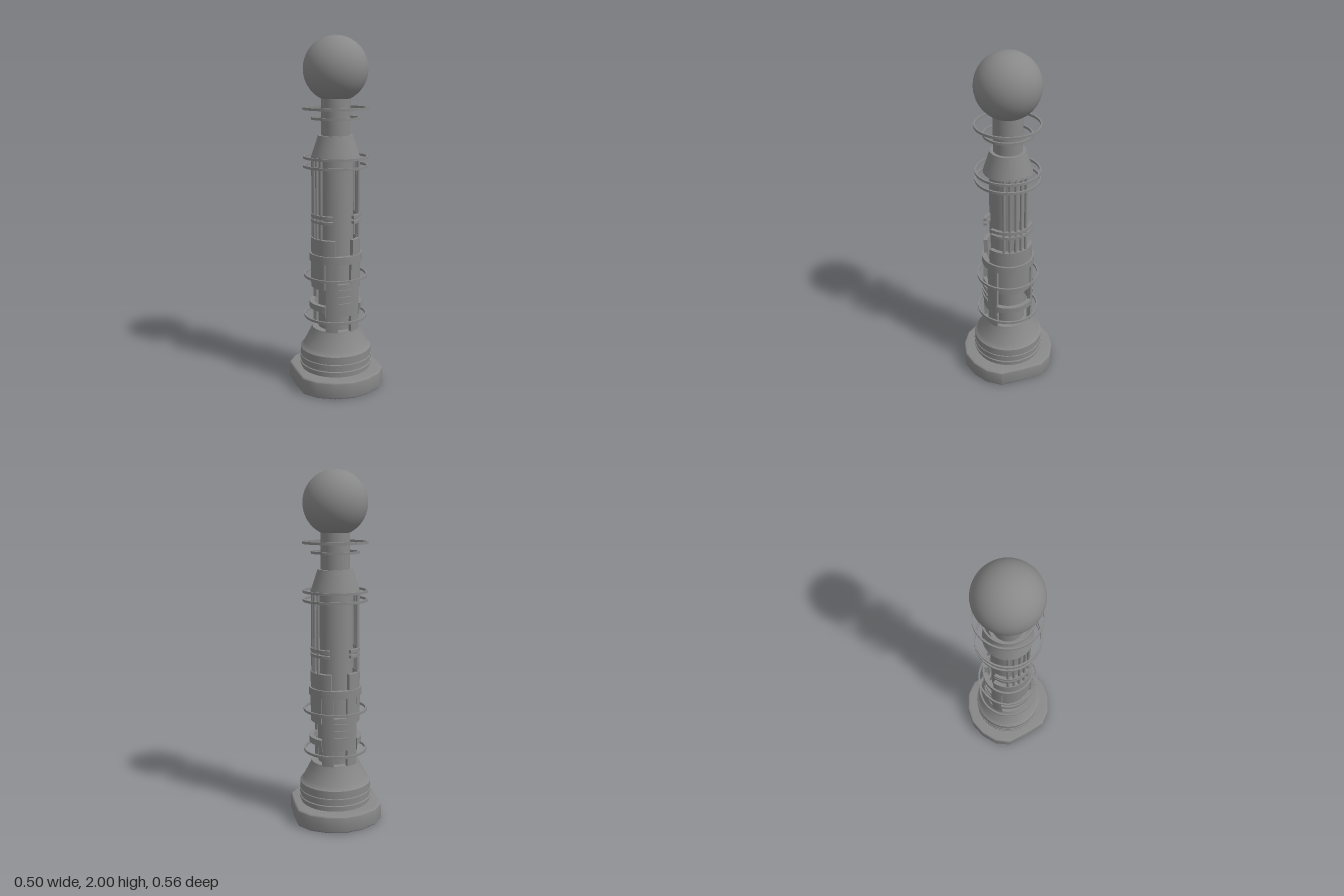
import * as THREE from 'three';
import { toCreasedNormals } from 'three/addons/utils/BufferGeometryUtils.js';

const rad = THREE.MathUtils.degToRad;

export function createModel() {
  const model = new THREE.Group();
  const material = new THREE.MeshStandardMaterial({ color: 0x888888 });

  function add(name, geometry, parent = model) {
    const mesh = new THREE.Mesh(geometry, material);
    mesh.name = name;
    parent.add(mesh);
    return mesh;
  }

  // Turned solid from [radius, height] pairs
  function turned(name, profile) {
    const points = profile.map(([r, y]) => new THREE.Vector2(r, y));
    return add(name, toCreasedNormals(new THREE.LatheGeometry(points, 48), rad(25)));
  }

  // Curved plate: centre and half-width angles in degrees, measured from +x
  function plate(name, inner, outer, y0, y1, centre, half, parent) {
    const shape = new THREE.Shape();
    shape.absarc(0, 0, outer, rad(centre - half), rad(centre + half), false);
    shape.absarc(0, 0, inner, rad(centre + half), rad(centre - half), true);
    const geometry = new THREE.ExtrudeGeometry(shape, { depth: y1 - y0, bevelEnabled: false, curveSegments: 24 });
    geometry.rotateX(-Math.PI / 2).translate(0, y0, 0);
    return add(name, toCreasedNormals(geometry, rad(30)), parent);
  }

  // Concave corner piece of a rounded opening, bent around the axis
  function fillet(name, inner, outer, yTop, yLow, from, to, parent) {
    const shape = new THREE.Shape();
    shape.moveTo(rad(from), yTop);
    shape.lineTo(rad(to), yTop);
    shape.quadraticCurveTo(rad(from), yTop, rad(from), yLow);
    const geometry = new THREE.ExtrudeGeometry(shape, { depth: outer - inner, bevelEnabled: false, curveSegments: 8 });
    const p = geometry.attributes.position;
    for (let i = 0; i < p.count; i++) {
      const a = p.getX(i), r = inner + p.getZ(i);
      p.setXYZ(i, r * Math.cos(a), p.getY(i), -r * Math.sin(a));
    }
    return add(name, toCreasedNormals(geometry, rad(30)), parent);
  }

  // Full ring with a rectangular section
  function ring(name, inner, outer, y0, y1) {
    return turned(name, [[inner, y0], [outer, y0], [outer, y1], [inner, y1], [inner, y0]]);
  }

  // Faceted foot plate with softened edges
  const quarter = [[0.24, 0], [0.236, 0.126], [0.184, 0.198], [0.097, 0.249], [0, 0.269]];
  const outline = [
    ...quarter,
    ...quarter.slice(1, 4).reverse().map(([x, z]) => [-x, z]),
    ...quarter.slice(0, 4).map(([x, z]) => [-x, -z]),
    [0, -0.269],
    ...quarter.slice(1, 4).reverse().map(([x, z]) => [x, -z]),
  ].map(([x, z]) => new THREE.Vector2(x, z));
  const foot = new THREE.ExtrudeGeometry(new THREE.Shape(outline), {
    depth: 0.08, bevelThickness: 0.01, bevelSize: 0.01, bevelSegments: 3,
  });
  foot.rotateX(-Math.PI / 2).translate(0, 0.01, 0);
  add('footPlate', toCreasedNormals(foot, rad(35)));

  // Grooved plinth and its sloping shoulder
  turned('plinth', [
    [0, 0.095], [0.202, 0.095], [0.202, 0.117], [0.21, 0.12], [0.21, 0.131], [0.204, 0.134], [0.204, 0.153],
    [0.21, 0.156], [0.21, 0.174], [0.206, 0.177], [0.206, 0.221],
    [0.2, 0.225], [0.186, 0.245], [0.142, 0.33], [0.138, 0.345], [0, 0.345],
  ]);

  // Core column, collar cone, neck and ball
  turned('coreColumn', [[0, 0.34], [0.1, 0.34], [0.1, 1.345], [0, 1.345]]);
  turned('collar', [[0, 1.335], [0.138, 1.335], [0.134, 1.35], [0.103, 1.445], [0.1, 1.458], [0, 1.458]]);
  turned('neck', [[0, 1.45], [0.081, 1.45], [0.081, 1.69], [0, 1.69]]);
  add('ball', new THREE.SphereGeometry(0.18, 48, 32)).position.y = 1.82;

  // Thin floating hoops
  for (const [y, r] of [[0.413, 0.183], [0.655, 0.183], [1.287, 0.183], [1.337, 0.183], [1.552, 0.136], [1.606, 0.183]]) {
    ring('hoop', r - 0.01, r, y - 0.007, y + 0.007);
  }

  // Sleeve band joining the panels
  ring('sleeveBand', 0.125, 0.152, 0.745, 0.79);

  // Front and back panels with windows and raised louvres
  for (const [side, centre] of [['front', 270], ['back', 90]]) {
    const panel = new THREE.Group();
    panel.name = side + 'Panel';
    model.add(panel);
    for (const s of [-1, 1]) plate('panelStile', 0.125, 0.146, 0.345, 0.75, centre + s * 30, 14, panel);
    plate('panelMiddle', 0.125, 0.146, 0.44, 0.63, centre, 17, panel);
    for (const y of [0.51, 0.55, 0.59]) plate('louvre', 0.14, 0.154, y - 0.009, y + 0.009, centre, 15, panel);
  }

  // Left and right sides: panels, brackets, clips and rods
  for (const [side, centre] of [['left', 0], ['right', 180]]) {
    const group = new THREE.Group();
    group.name = side + 'Side';
    model.add(group);
    plate('upperPanel', 0.12, 0.142, 0.59, 0.75, centre, 43, group);
    plate('shoulderPanel', 0.118, 0.141, 0.785, 0.88, centre, 68, group);
    plate('bracket', 0.125, 0.152, 0.463, 0.498, centre, 47, group);
    for (const s of [-1, 1]) {
      fillet('bracketCorner', 0.125, 0.15, 0.465, 0.43, centre + s * 47, centre + s * 28, group);
    }

    // Pair of clip bars
    plate('clipLowerBar', 0.122, 0.141, 0.971, 0.987, centre, 64, group);
    plate('clipUpperBar', 0.122, 0.141, 0.999, 1.018, centre, 64, group);

    for (let i = -2; i <= 2; i++) {
      const a = rad(centre + i * 15);
      const rod = add('rod', new THREE.CylinderGeometry(0.009, 0.009, 0.47, 12), group);
      rod.position.set(0.129 * Math.cos(a), 1.11, 0.129 * Math.sin(a));
    }
  }

  return model;
}
